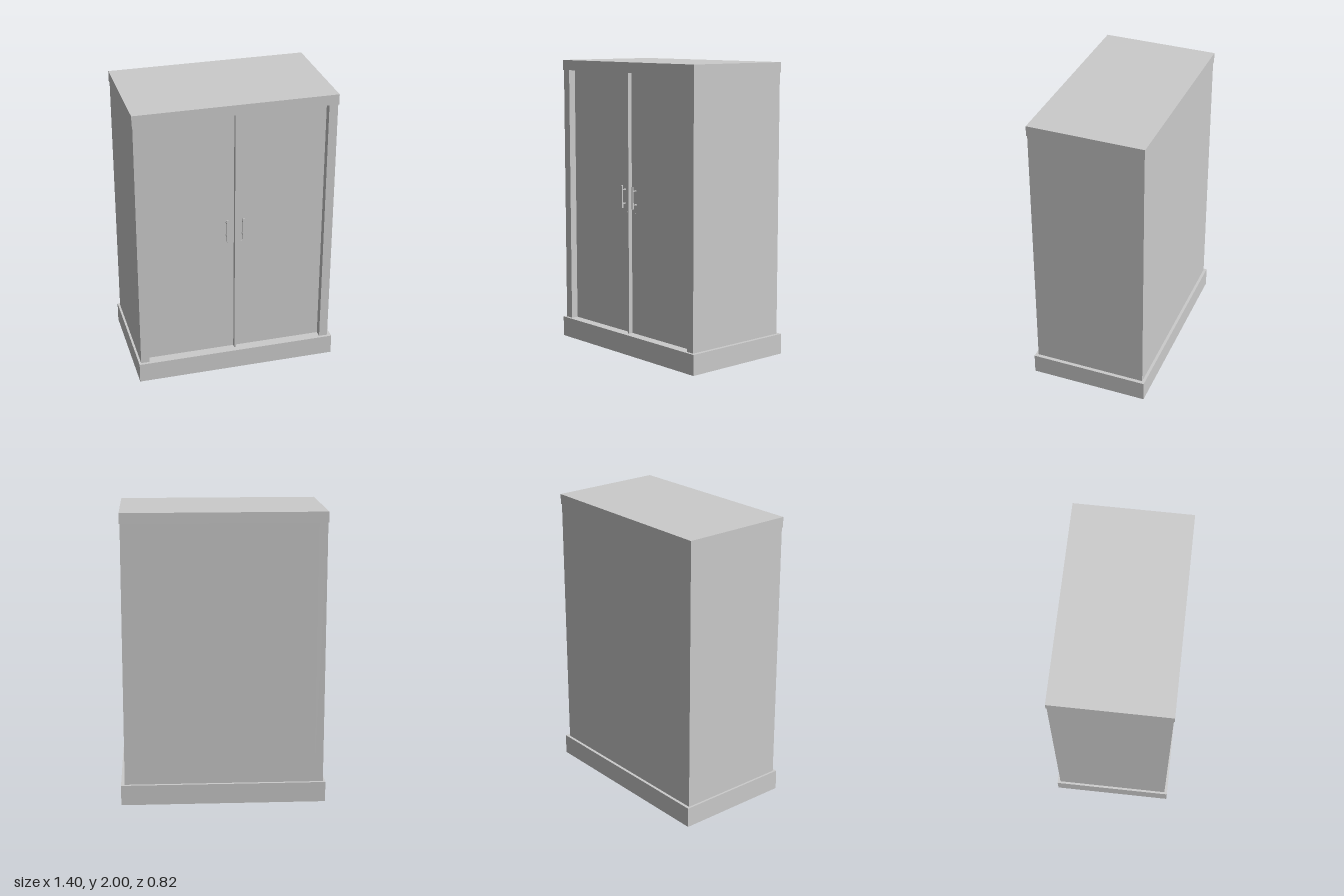
import * as THREE from 'three';

const material = new THREE.MeshStandardMaterial({ color: 0xcccccc, flatShading: true });

// Box given by its limits on each axis
function box(name, [x0, x1], [y0, y1], [z0, z1]) {
  const mesh = new THREE.Mesh(new THREE.BoxGeometry(x1 - x0, y1 - y0, z1 - z0), material);
  mesh.position.set((x0 + x1) / 2, (y0 + y1) / 2, (z0 + z1) / 2);
  mesh.name = name;
  return mesh;
}

// Bar handle on two standoff posts, with a small lock below
function handle(name, x, lockX, doorZ) {
  const group = new THREE.Group();
  group.name = name;
  group.add(box('handleBar', [x - 0.006, x + 0.006], [1.01, 1.165], [doorZ + 0.028, doorZ + 0.038]));
  for (const y of [1.04, 1.135]) {
    group.add(box('handlePost', [x - 0.004, x + 0.004], [y - 0.004, y + 0.004], [doorZ, doorZ + 0.028]));
  }
  const lock = new THREE.Mesh(new THREE.CylinderGeometry(0.004, 0.004, 0.006, 8), material);
  lock.rotation.x = Math.PI / 2;
  lock.position.set(lockX, 0.98, doorZ + 0.002);
  lock.name = 'lock';
  group.add(lock);
  return group;
}

export function createModel() {
  const cabinet = new THREE.Group();
  cabinet.name = 'cabinet';
  const centre = -0.005;
  const doorZ = 0.34;
  const height = [0.14, 1.93];

  // Plinth and top
  cabinet.add(box('plinth', [-0.7, 0.7], [0, 0.14], [-0.41, 0.41]));
  cabinet.add(box('top', [-0.69, 0.68], [1.93, 2], [-0.395, 0.395]));

  // Carcass
  cabinet.add(box('rightSide', [-0.685, -0.625], height, [-0.39, 0.39]));
  cabinet.add(box('leftSide', [0.615, 0.675], height, [-0.39, 0.39]));
  cabinet.add(box('back', [-0.625, 0.615], height, [-0.39, -0.36]));

  // Recessed doors meeting at a thin raised closing strip
  cabinet.add(box('rightDoor', [-0.625, centre], height, [doorZ - 0.03, doorZ]));
  cabinet.add(box('leftDoor', [centre, 0.615], height, [doorZ - 0.03, doorZ]));
  cabinet.add(box('closingStrip', [centre - 0.005, centre + 0.007], height, [doorZ, doorZ + 0.03]));

  // Handles
  cabinet.add(handle('rightHandle', -0.063, -0.05, doorZ));
  cabinet.add(handle('leftHandle', 0.049, 0.04, doorZ));

  return cabinet;
}
